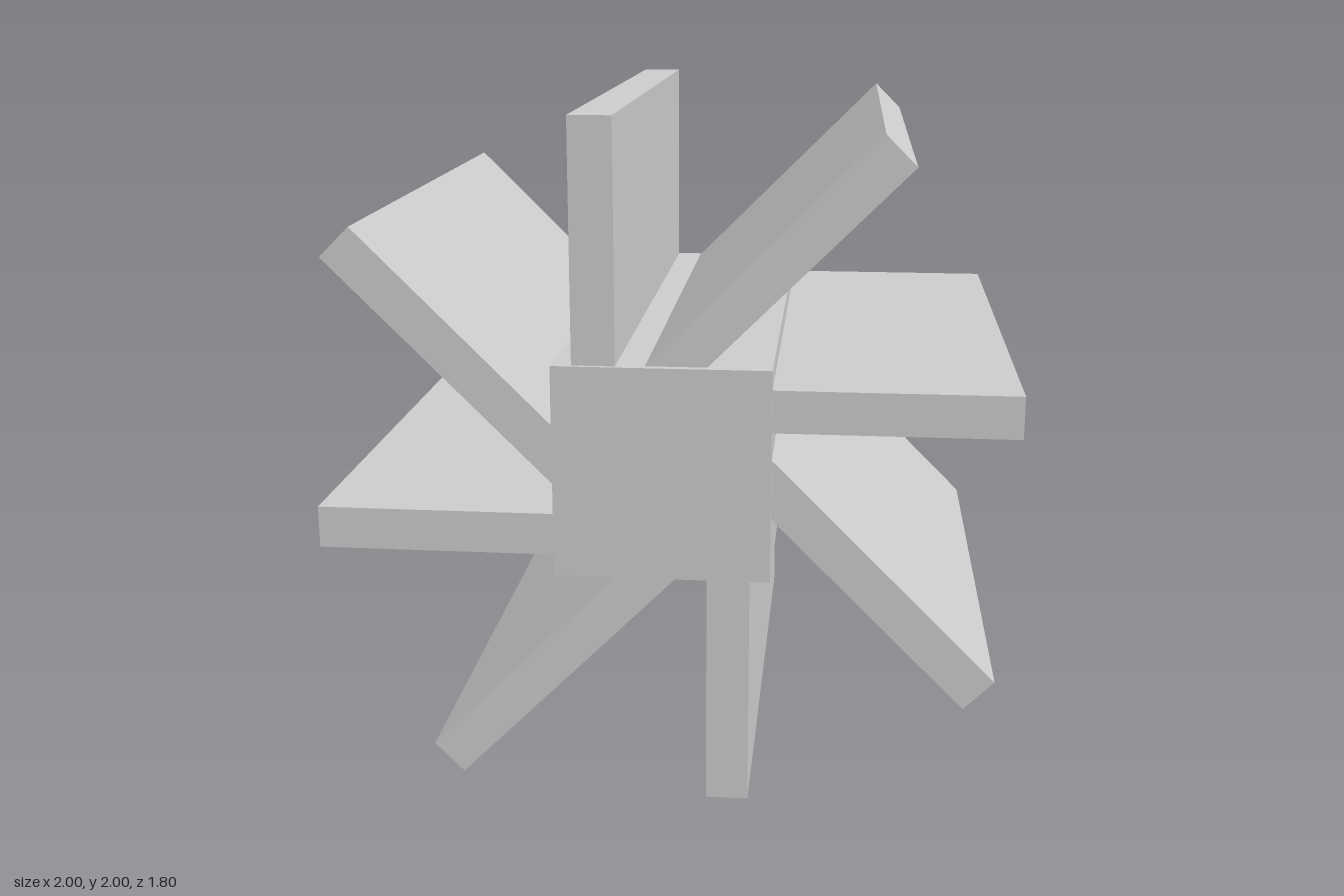
import * as THREE from 'three';

export function createModel() {
  const model = new THREE.Group();
  model.name = 'paddleWheel';
  const material = new THREE.MeshStandardMaterial({ color: 0xcccccc, flatShading: true });

  const wheel = new THREE.Group();
  wheel.name = 'wheel';
  wheel.position.y = 1;
  model.add(wheel);

  // Square hub running along z
  const hub = new THREE.Mesh(new THREE.BoxGeometry(0.62, 0.62, 1.8), material);
  hub.name = 'hub';
  wheel.add(hub);

  // Flat paddle pointing up, set off to one side of the axle, then turned about it
  const offset = 0.19, thickness = 0.123;
  function addPaddle(name, inner, outer, depth, angle) {
    const geometry = new THREE.BoxGeometry(thickness, outer - inner, depth);
    geometry.translate(-offset, (inner + outer) / 2, 0);
    const paddle = new THREE.Mesh(geometry, material);
    paddle.name = name;
    paddle.rotation.z = angle;
    wheel.add(paddle);
  }

  for (let i = 0; i < 4; i++) {
    const turn = i * Math.PI / 2;
    addPaddle('straightPaddle' + (i + 1), 0.28, 1, 1.775, turn);
    addPaddle('diagonalPaddle' + (i + 1), 0.16, 1.101, 1.754, turn - Math.PI / 4);
  }
  return model;
}
